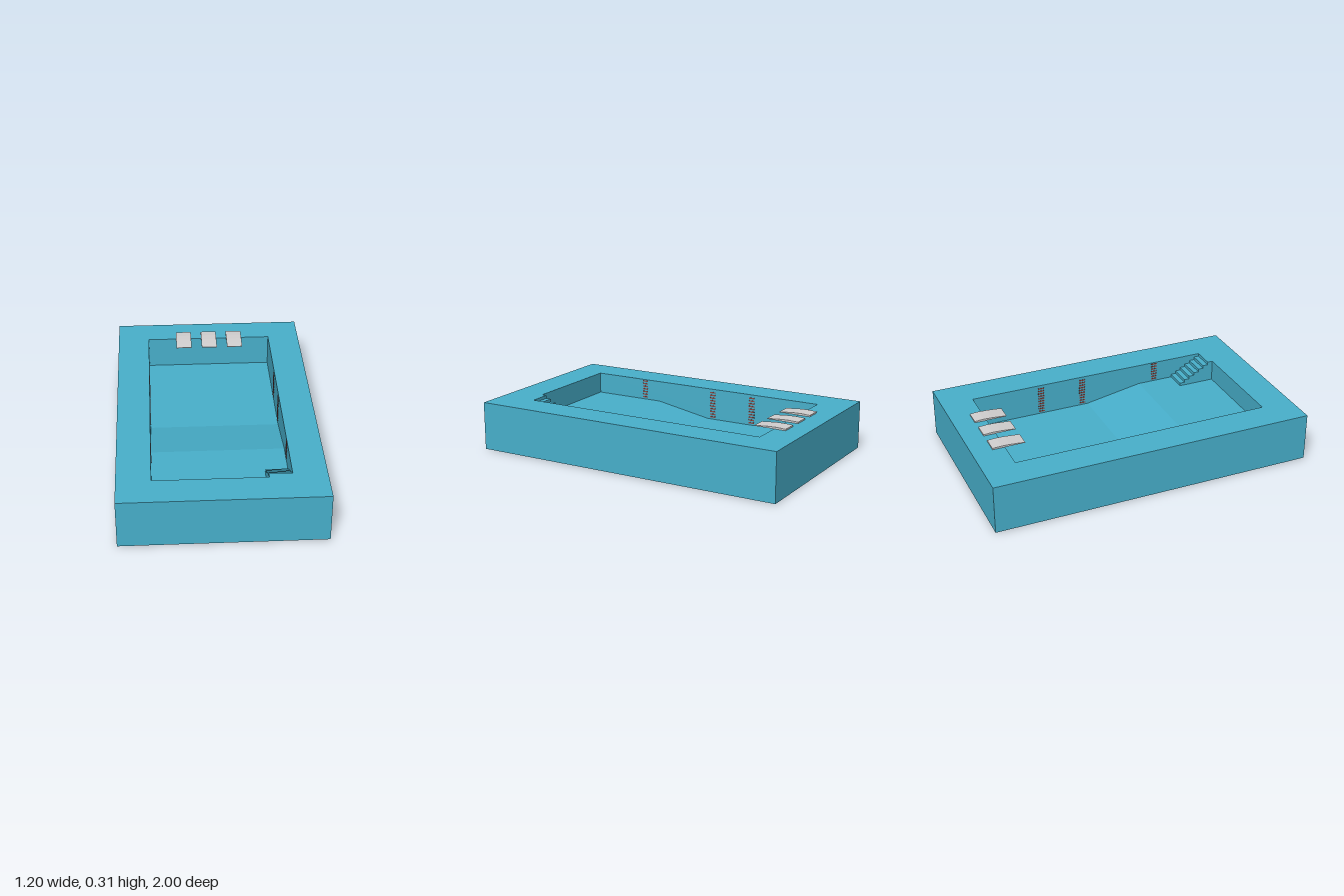
import * as THREE from 'three';

const material = (name, color) => {
  const m = new THREE.MeshStandardMaterial({ color });
  m.name = name;
  return m;
};

// Extrudes a side profile of [z, y] points to a given width, centred on x.
function sideExtrude(points, width, x = 0) {
  const shape = new THREE.Shape(points.map(([z, y]) => new THREE.Vector2(z, y)));
  const geo = new THREE.ExtrudeGeometry(shape, { depth: width, bevelEnabled: false });
  return geo.rotateY(-Math.PI / 2).translate(x + width / 2, 0, 0);
}

export function createModel() {
  const pool = new THREE.Group();
  pool.name = 'swimmingPool';
  const blue = material('poolBlue', 0x48b0cc);
  const grey = material('loungerGrey', 0xd2d0d0);
  const red = material('markerRed', 0x8c4a44);

  const add = (name, geo, mat, parent = pool) => {
    const mesh = new THREE.Mesh(geo, mat);
    mesh.name = name;
    parent.add(mesh);
    return mesh;
  };

  const TOP = 0.3, DEEP = 0.1, SHALLOW = 0.167;
  const SLOPE_BACK = -0.033, SLOPE_FRONT = 0.333;

  // Deck and basin walls: a rectangular ring
  const rect = (Type, w, l) => new Type([[-w, -l], [w, -l], [w, l], [-w, l]]
    .map(([x, y]) => new THREE.Vector2(x, y)));
  const ring = rect(THREE.Shape, 0.6, 1);
  ring.holes.push(rect(THREE.Path, 0.4, 0.8));
  const walls = new THREE.ExtrudeGeometry(ring, { depth: TOP, bevelEnabled: false });
  add('deckAndWalls', walls.rotateX(-Math.PI / 2), blue);

  // Floor: deep end at the back, a ramp, shallow end at the front
  add('poolFloor', sideExtrude([
    [-0.8, 0], [0.8, 0], [0.8, SHALLOW], [SLOPE_FRONT, SHALLOW], [SLOPE_BACK, DEEP], [-0.8, DEEP],
  ], 0.8), blue);

  // Corner stairs rising from the shallow floor to the deck
  const STEPS = 7, run = 0.2 / 6, rise = (TOP - SHALLOW) / STEPS;
  const stairs = [[0.8, SHALLOW], [0.567, SHALLOW]];
  for (let i = 0; i < STEPS; i++) {
    const z = 0.567 + i * run, y = SHALLOW + (i + 1) * rise;
    stairs.push([z, y], [Math.min(z + run, 0.8), y]);
  }
  stairs.reverse();
  add('stairs', sideExtrude(stairs, 0.135, 0.3325), blue);

  // Sun loungers on the back deck
  const lounger = [
    [-0.875, TOP], [-0.675, TOP], [-0.675, 0.303], [-0.72, 0.307],
    [-0.77, 0.311], [-0.82, 0.312], [-0.875, 0.309],
  ];
  [-0.168, 0, 0.168].forEach((x) => add('sunLounger', sideExtrude(lounger, 0.1, x), grey));

  // Depth markers: columns of plain dashes on both long walls
  for (const side of [-1, 1]) {
    for (const [z, floor] of [[0.44, SHALLOW], [-0.07, DEEP], [-0.35, DEEP]]) {
      const marker = new THREE.Group();
      marker.name = 'depthMarker';
      pool.add(marker);
      for (let y = floor + 0.015; y < TOP - 0.008; y += 0.018) {
        const dash = add('markerDash', new THREE.BoxGeometry(0.003, 0.008, 0.04), red, marker);
        dash.position.set(side * 0.399, y, z);
      }
    }
  }
  return pool;
}
